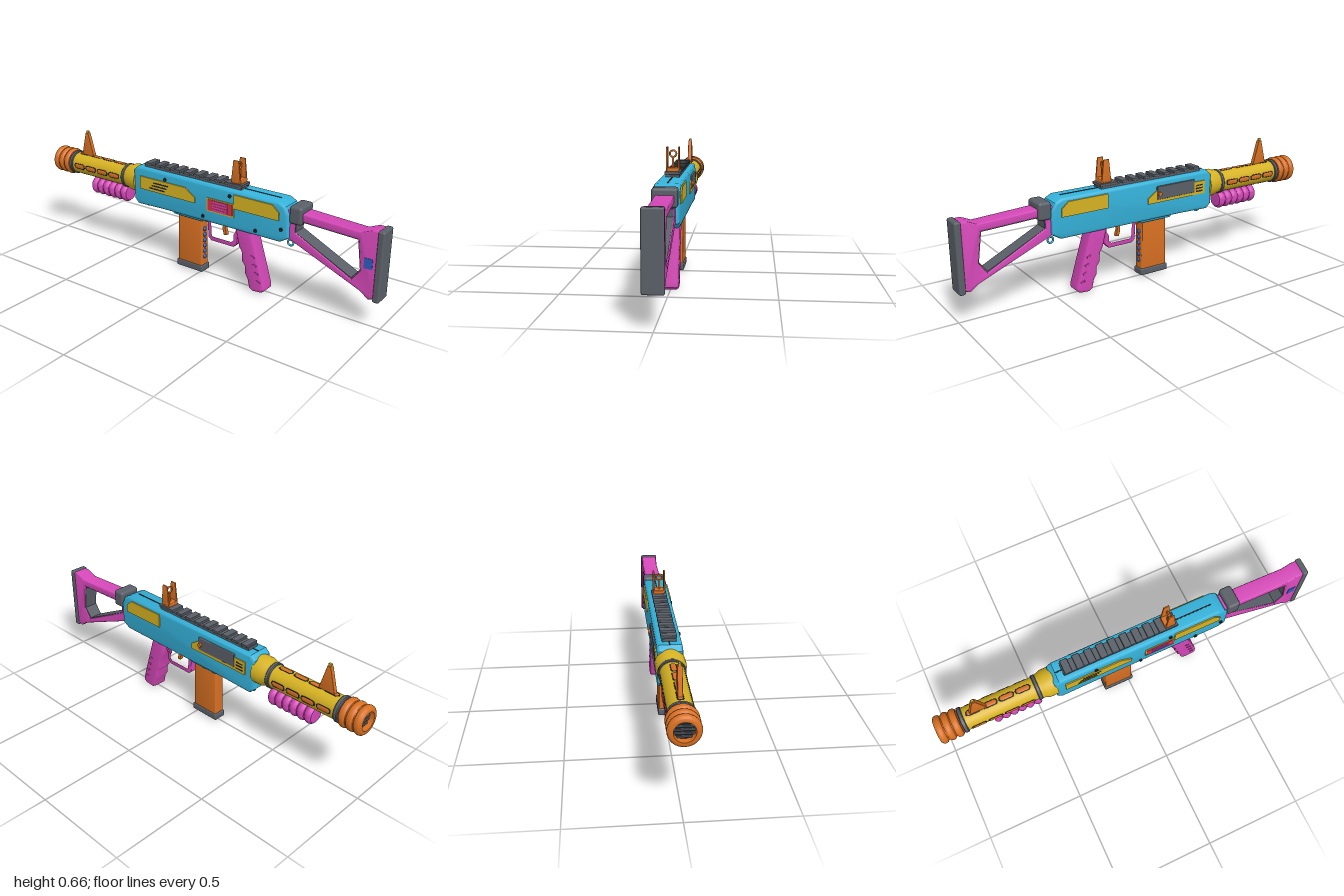
import * as THREE from 'three';
import { toCreasedNormals } from 'three/addons/utils/BufferGeometryUtils.js';
import { RoundedBoxGeometry } from 'three/addons/geometries/RoundedBoxGeometry.js';

const mat = (name, color) => {
  const m = new THREE.MeshStandardMaterial({ color });
  m.name = name;
  return m;
};

export function createModel() {
  const blue = mat('blue', 0x35b2da), pink = mat('pink', 0xd548b8), gray = mat('gray', 0x5a6068);
  const orange = mat('orange', 0xd87022), yellow = mat('yellow', 0xd6b222), dark = mat('dark', 0x22262a);
  const red = mat('red', 0xd8304c), deepBlue = mat('deep blue', 0x2c5fc4);

  const model = new THREE.Group();
  const body = new THREE.Group();
  body.name = 'blaster';
  body.position.x = -0.002;
  model.add(body);

  const add = (name, geo, m, x = 0, y = 0, z = 0) => {
    const mesh = new THREE.Mesh(geo, m);
    mesh.name = name;
    mesh.position.set(x, y, z);
    body.add(mesh);
    return mesh;
  };
  const box = (name, m, w, h, d, x, y, z) => add(name, new THREE.BoxGeometry(w, h, d), m, x, y, z);
  const rbox = (name, m, w, h, d, x, y, z, r) => add(name, new RoundedBoxGeometry(w, h, d, 3, r), m, x, y, z);
  const vecs = (pts) => pts.map(([a, b]) => new THREE.Vector2(a, b));

  // Side profile given as [z, y] points, extruded across x
  const side = (name, pts, w, m, { bevel = 0, hole = null, x = 0 } = {}) => {
    const s = new THREE.Shape(vecs(pts));
    if (hole) s.holes.push(new THREE.Path(vecs(hole)));
    const depth = w - 2 * bevel;
    const geo = new THREE.ExtrudeGeometry(s, {
      depth, bevelEnabled: bevel > 0, bevelThickness: bevel, bevelSize: bevel, bevelOffset: -bevel, bevelSegments: 3,
    });
    geo.translate(0, 0, -depth / 2);
    geo.rotateY(-Math.PI / 2);
    return add(name, toCreasedNormals(geo, 0.6), m, x);
  };
  // Profile given as [radius, z] points with rising z, turned about the z axis
  const lathe = (name, pts, m, y) =>
    add(name, toCreasedNormals(new THREE.LatheGeometry(vecs(pts), 32).rotateX(Math.PI / 2), 0.6), m, 0, y);

  // Receiver
  side('receiver', [[0.535, 0.345], [0.535, 0.46], [0.515, 0.5], [0.48, 0.518], [-0.38, 0.518], [-0.405, 0.495],
    [-0.405, 0.335], [-0.38, 0.31], [-0.2, 0.315], [0.49, 0.318]], 0.12, blue, { bevel: 0.014 });
  rbox('magazineWell', blue, 0.09, 0.04, 0.19, 0, 0.322, -0.06, 0.008);
  box('topSeam', dark, 0.006, 0.004, 0.84, 0, 0.518, 0.04);
  for (const z of [0.52, -0.355])
    add('slingLoop', new THREE.TorusGeometry(0.015, 0.005, 8, 20).rotateY(Math.PI / 2), blue, 0, 0.304, z);

  // Side panels with vents
  for (const s of [-1, 1]) {
    side('rearPanel', [[0.487, 0.428], [0.487, 0.468], [0.45, 0.5], [0.235, 0.5], [0.235, 0.428]], 0.008, yellow, { x: s * 0.062 });
    side('frontPanel', [[0, 0.403], [0, 0.432], [-0.06, 0.472], [-0.355, 0.472], [-0.355, 0.403]], 0.008, yellow, { x: s * 0.062 });
    for (let i = 0; i < 3; i++) {
      if (s > 0) box('vent', dark, 0.004, 0.007, 0.042, 0.065, 0.42 + i * 0.016, -0.32);
      else box('vent', dark, 0.004, 0.007, 0.1, -0.065, 0.42 + i * 0.016, -0.24 + i * 0.012);
    }
  }
  rbox('ejectionCover', gray, 0.012, 0.07, 0.235, 0.063, 0.453, -0.17, 0.004);
  const bolt = new THREE.CylinderGeometry(0.011, 0.011, 0.02, 16).rotateZ(Math.PI / 2);
  add('boltHandle', bolt, orange, 0.068, 0.449, -0.065);

  // Left side badge and screws
  box('badgeFrame', yellow, 0.006, 0.07, 0.16, -0.061, 0.415, 0.155);
  box('badge', red, 0.006, 0.058, 0.146, -0.063, 0.415, 0.155);
  for (let i = 0; i < 4; i++)
    box('badgeStripe', pink, 0.004, 0.008, 0.09, -0.0655, 0.394 + i * 0.014, 0.155);
  for (const [y, z] of [[0.485, -0.19], [0.487, 0.21], [0.345, 0.36], [0.387, 0.5], [0.345, 0.05]])
    add('screw', new THREE.CylinderGeometry(0.009, 0.009, 0.014, 6).rotateZ(Math.PI / 2), dark, -0.061, y, z);

  // Top rail
  box('railBase', gray, 0.066, 0.02, 0.6, 0, 0.523, -0.045);
  for (let i = 0; i < 9; i++)
    rbox('railTooth', gray, 0.076, 0.014, 0.038, 0, 0.537, -0.32 + i * 0.0625, 0.003);
  rbox('railEnd', gray, 0.076, 0.014, 0.08, 0, 0.537, 0.222, 0.003);

  // Rear sight
  rbox('rearSightBase', orange, 0.058, 0.02, 0.056, 0, 0.553, 0.222, 0.004);
  for (const s of [-1, 1])
    side('rearSightWing', [[0.249, 0.55], [0.237, 0.66], [0.207, 0.66], [0.195, 0.55]], 0.008, orange, { bevel: 0.002, x: s * 0.028 });
  box('rearSightPost', orange, 0.009, 0.055, 0.012, 0, 0.583, 0.222);
  add('rearSightRing', new THREE.TorusGeometry(0.0155, 0.0045, 10, 24), orange, 0, 0.627, 0.222);

  // Barrel shroud with slots
  lathe('barrelCollar', [[0.0, -0.475], [0.062, -0.475], [0.064, -0.46], [0.072, -0.44], [0.072, -0.395], [0, -0.395]], yellow, 0.432);
  lathe('barrelShroud', [[0, -0.87], [0.058, -0.87], [0.058, -0.47], [0, -0.47]], yellow, 0.43);
  for (const [a, b] of [[-0.495, -0.474], [-0.88, -0.858]])
    lathe('barrelBand', [[0, a], [0.062, a], [0.065, a + 0.004], [0.065, b - 0.004], [0.062, b], [0, b]], gray, 0.43);
  const slot = (name, m, r, len, depth, angle, z) => {
    const geo = new THREE.CapsuleGeometry(r, len, 5, 12).rotateX(Math.PI / 2);
    geo.scale(1, depth / r, 1);
    geo.translate(0, 0.0575, 0);
    geo.rotateZ(angle);
    add(name, geo, m, 0, 0.43, z);
  };
  for (let k = 0; k < 4; k++)
    for (let i = 0; i < 4; i++) {
      slot('slotRim', dark, 0.015, 0.05, 0.0025, k * Math.PI / 2, -0.55 - i * 0.085);
      slot('barrelSlot', orange, 0.012, 0.045, 0.004, k * Math.PI / 2, -0.55 - i * 0.085);
    }

  // Ribbed muzzle with a barred bore
  const muzzle = [[0, -0.965], [0.046, -0.965], [0.046, -1], [0.06, -1]];
  for (let i = 0; i < 3; i++)
    for (const [dr, t] of [[0.063, 0.002], [0.07, 0.009], [0.072, 0.019], [0.07, 0.029], [0.063, 0.036]])
      muzzle.push([dr, -1 + i * 0.039 + t]);
  muzzle.push([0, -0.88]);
  lathe('muzzle', muzzle, orange, 0.43);
  add('bore', new THREE.CylinderGeometry(0.045, 0.045, 0.006, 28).rotateX(Math.PI / 2), dark, 0, 0.43, -0.967);
  for (let i = -2; i <= 2; i++) {
    const y = i * 0.016;
    box('boreBar', gray, 2 * Math.sqrt(0.045 ** 2 - y * y), 0.007, 0.008, 0, 0.43 + y, -0.974);
  }

  // Front sight
  side('frontSight', [[-0.735, 0.48], [-0.773, 0.615], [-0.791, 0.615], [-0.827, 0.48]], 0.022, orange, { bevel: 0.003 });
  rbox('frontSightTip', yellow, 0.012, 0.014, 0.018, 0, 0.62, -0.782, 0.003);

  // Ribbed foregrip
  const rib = [[0, -0.735]];
  for (let i = 0; i < 6; i++)
    for (const [r, t] of [[0.04, 0.002], [0.047, 0.01], [0.05, 0.021], [0.047, 0.032], [0.04, 0.04]])
      rib.push([r, -0.735 + i * 0.0425 + t]);
  rib.push([0, -0.48]);
  lathe('foregrip', rib, pink, 0.329);

  // Stock frame, gray liner, hinge and butt pad
  const hole = [[0.88, 0.432], [0.59, 0.443], [0.562, 0.42], [0.56, 0.382], [0.86, 0.23], [0.9, 0.285]];
  side('stockFrame', [[0.975, 0.49], [0.94, 0.49], [0.89, 0.468], [0.6, 0.482], [0.52, 0.485], [0.52, 0.345],
    [0.905, 0.185], [0.945, 0.155], [0.975, 0.165]], 0.084, pink, { bevel: 0.006, hole });
  const inner = hole.map(([z, y]) => [0.73 + (z - 0.73) * 0.975, 0.36 + (y - 0.36) * 0.95]);
  side('stockLiner', hole, 0.074, gray, { hole: inner });
  rbox('buttPad', gray, 0.094, 0.345, 0.032, 0, 0.322, 0.984, 0.009);
  rbox('stockHinge', gray, 0.116, 0.088, 0.066, 0, 0.469, 0.568, 0.014);
  box('stockSticker', deepBlue, 0.004, 0.05, 0.04, -0.042, 0.33, 0.935);

  // Pistol grip with side ridges
  side('pistolGrip', [[0.325, 0.325], [0.325, 0.3], [0.402, 0.045], [0.402, 0.02], [0.385, 0.006], [0.335, 0.002],
    [0.315, 0.015], [0.305, 0.06], [0.29, 0.085], [0.288, 0.125], [0.27, 0.15], [0.268, 0.195], [0.25, 0.225],
    [0.232, 0.3], [0.232, 0.325]], 0.084, pink, { bevel: 0.014 });
  for (let i = 0; i < 4; i++)
    rbox('gripRidge', pink, 0.09, 0.009, 0.024, 0, 0.065 + i * 0.042, 0.372 - i * 0.012, 0.003).rotation.x = 0.3;

  // Trigger group
  side('triggerGuard', [[0.245, 0.32], [0.245, 0.29], [0.228, 0.265], [0.228, 0.225], [0.205, 0.2], [0.07, 0.2],
    [0.052, 0.215], [0.045, 0.32]], 0.036, pink,
  { bevel: 0.004, hole: [[0.225, 0.31], [0.222, 0.285], [0.21, 0.265], [0.21, 0.235], [0.195, 0.22], [0.078, 0.22], [0.07, 0.228], [0.064, 0.31]] });
  side('trigger', [[0.158, 0.32], [0.15, 0.285], [0.16, 0.25], [0.142, 0.247], [0.133, 0.28], [0.138, 0.32]], 0.022, orange, { bevel: 0.003 });
  rbox('magazineRelease', orange, 0.03, 0.022, 0.02, 0, 0.303, 0.038, 0.004);

  // Magazine with visible rounds
  side('magazine', [[0.015, 0.32], [0.017, 0.04], [-0.134, 0.04], [-0.13, 0.32]], 0.058, orange, { bevel: 0.006 });
  rbox('magazineBase', gray, 0.068, 0.036, 0.164, 0, 0.028, -0.059, 0.007);
  for (let i = 0; i < 6; i++)
    add('round', new THREE.SphereGeometry(0.013, 14, 10), deepBlue, 0, 0.09 + i * 0.031, 0.012);

  return model;
}
